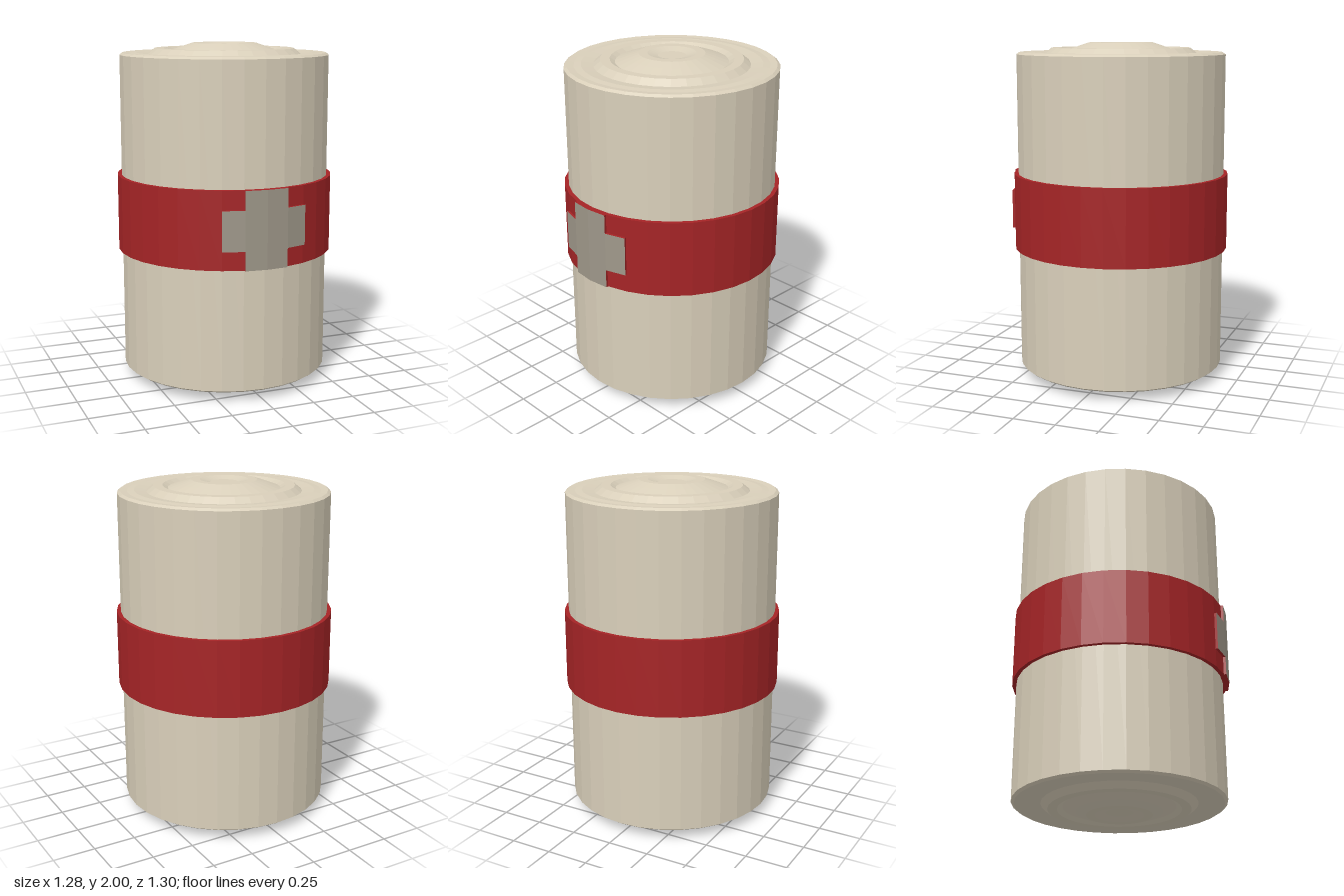
import * as THREE from 'three';

const SIDES = 32;

// Faceted normals, one per face
function faceted(geometry) {
  const g = geometry.toNonIndexed();
  g.computeVertexNormals();
  return g;
}

function lathe(points) {
  return faceted(new THREE.LatheGeometry(points.map(([r, y]) => new THREE.Vector2(r, y)), SIDES));
}

// Box bent around the y axis: its width becomes an angle, its depth a radius
function bentBox(a0, a1, y0, y1, r0, r1, segments) {
  const g = new THREE.BoxGeometry(a1 - a0, y1 - y0, r1 - r0, segments, 1, 1);
  g.translate((a0 + a1) / 2, (y0 + y1) / 2, (r0 + r1) / 2);
  const p = g.attributes.position;
  for (let i = 0; i < p.count; i++) {
    const a = p.getX(i), r = p.getZ(i);
    p.setXYZ(i, r * Math.sin(a), p.getY(i), r * Math.cos(a));
  }
  return faceted(g);
}

export function createModel() {
  const cream = new THREE.MeshStandardMaterial({ color: 0xd9cfba });
  const red = new THREE.MeshStandardMaterial({ color: 0xa52426 });
  const grey = new THREE.MeshStandardMaterial({ color: 0x9f988a });

  const model = new THREE.Group();
  const add = (name, geometry, material) => {
    const mesh = new THREE.Mesh(geometry, material);
    mesh.name = name;
    mesh.position.z = -0.007;
    model.add(mesh);
  };

  // Drum wall
  add('body', lathe([[0.617, 0.067], [0.617, 1.933]]), cream);

  // Pressed end caps: rim, shallow hump, raised ring, groove, dome and dimple
  const cap = [
    [0.617, 1.933], [0.6, 1.945], [0.56, 1.942], [0.52, 1.946], [0.45, 1.938],
    [0.41, 1.97], [0.355, 1.97], [0.325, 1.953], [0.25, 1.98], [0.19, 2],
    [0.14, 2], [0.08, 1.985], [0, 1.985],
  ];
  add('topCap', lathe(cap), cream);
  add('bottomCap', lathe(cap.map(([r, y]) => [r, 2 - y]).reverse()), cream);

  // Raised band around the middle
  add('band', lathe([[0.6, 0.78], [0.641, 0.78], [0.641, 1.23], [0.6, 1.23]]), red);

  // Cross on the front of the band: red edges, grey face
  const step = (Math.PI * 2) / SIDES;
  const crossMaterials = [red, red, red, red, grey, red];
  add('crossUpright', bentBox(-step, step, 0.78, 1.23, 0.6, 0.656, 2), crossMaterials);
  add('crossLeftArm', bentBox(step, 2 * step, 0.89, 1.12, 0.6, 0.656, 1), crossMaterials);
  add('crossRightArm', bentBox(-2 * step, -step, 0.89, 1.12, 0.6, 0.656, 1), crossMaterials);

  return model;
}
